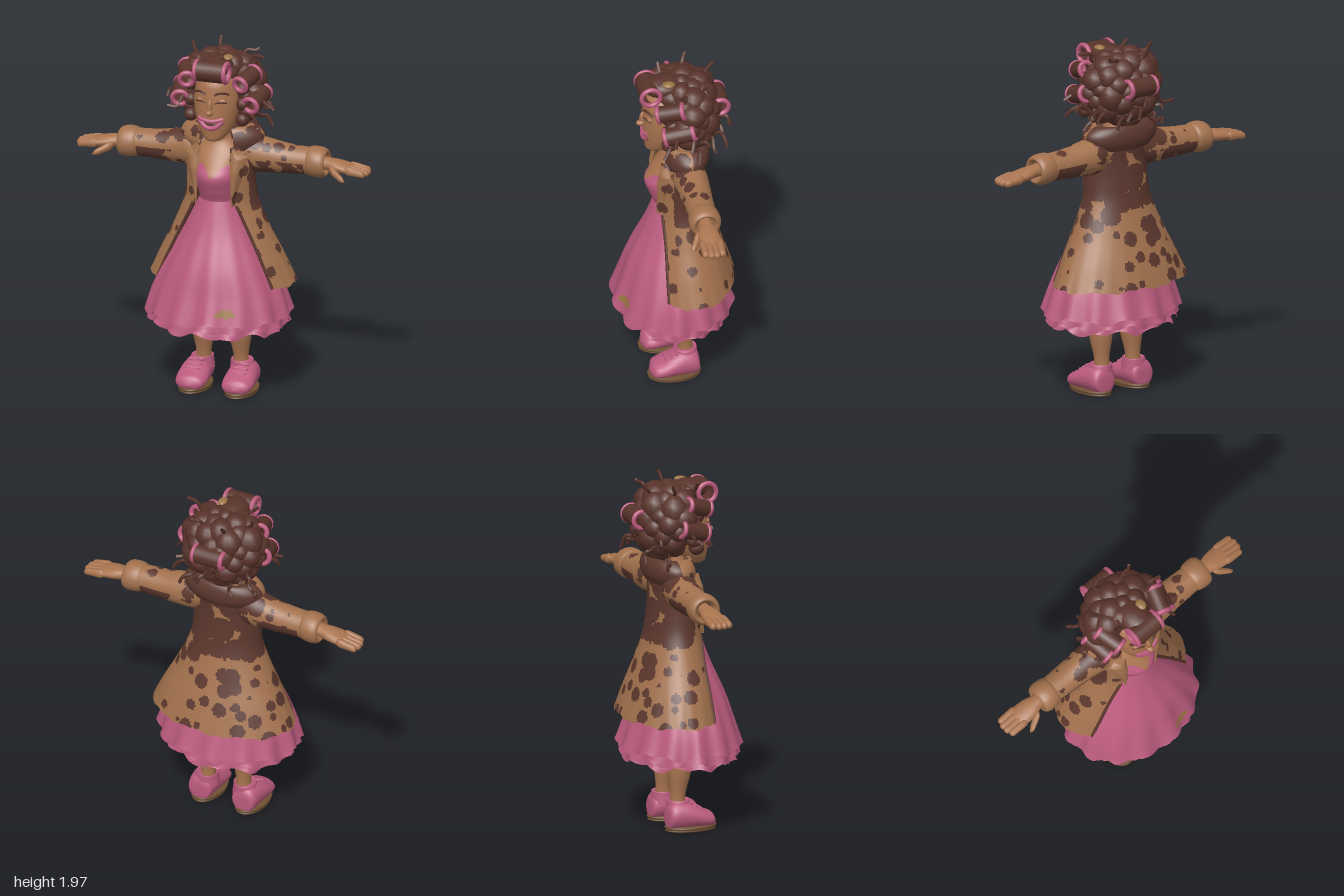
import * as THREE from 'three';
import { mergeVertices, mergeGeometries } from 'three/addons/utils/BufferGeometryUtils.js';

const material = (name, color, side = THREE.FrontSide) => {
  const m = new THREE.MeshStandardMaterial({ color, side });
  m.name = name;
  return m;
};
const V = (x, y, z) => new THREE.Vector3(x, y, z);
const { sin, cos, PI, max, min, abs, hypot, floor, sqrt, asin } = Math;
const smooth = THREE.MathUtils.smoothstep;

let seed = 7;
const rnd = () => (seed = (seed * 16807) % 2147483647) / 2147483647;

// Smooth interpolation through a list of cross-sections
function sample(rows, v) {
  const n = rows.length, s = v * (n - 1), i = min(floor(s), n - 2), t = s - i;
  const [a, b, c, d] = [rows[max(i - 1, 0)], rows[i], rows[i + 1], rows[min(i + 2, n - 1)]];
  return b.map((q, k) => 0.5 * (2 * q + (c[k] - a[k]) * t + (2 * a[k] - 5 * q + 4 * c[k] - d[k]) * t * t
    + (3 * q - a[k] - 3 * c[k] + d[k]) * t * t * t));
}

// Surface from a rule f(u, v); pick(x, y, z) chooses the material of each face
function surf(f, nu, nv, pick = () => 0, flip = false) {
  const pos = [], lists = [[], []];
  for (let j = 0; j <= nv; j++) for (let i = 0; i <= nu; i++) pos.push(...f(i / nu, j / nv));
  for (let j = 0; j < nv; j++) for (let i = 0; i < nu; i++) {
    const a = j * (nu + 1) + i, b = a + 1, c = b + nu + 1, d = a + nu + 1;
    const m = lists[pick(...[0, 1, 2].map(k => (pos[a * 3 + k] + pos[c * 3 + k]) / 2)) ? 1 : 0];
    m.push(...(flip ? [a, c, b, a, d, c] : [a, b, c, a, c, d]));
  }
  let g = new THREE.BufferGeometry();
  g.setAttribute('position', new THREE.Float32BufferAttribute(pos, 3));
  g.setIndex([...lists[0], ...lists[1]]);
  g = mergeVertices(g);
  g.addGroup(0, lists[0].length, 0);
  if (lists[1].length) g.addGroup(lists[0].length, lists[1].length, 1);
  g.computeVertexNormals();
  return g;
}

// Closed loft of ellipses; rows are [centre x, y, z, radius, radius]
function loft(axis, rows, nu = 20, nv = 20, pick) {
  return surf((u, v) => {
    const [x, y, z, p, q] = sample(rows, v), t = u * 2 * PI, a = max(p, 0), b = max(q, 0);
    if (axis === 'y') return [x + a * sin(t), y, z + b * cos(t)];
    if (axis === 'x') return [x, y + a * cos(t), z + b * sin(t)];
    return [x + a * cos(t), y + b * sin(t), z];
  }, nu, nv, pick);
}
// Loft rows along x for one side of the body
const along = (s, rows) => s > 0 ? rows : rows.map(([x, ...r]) => [-x, ...r]).reverse();

// Wrap open at the front; rows are [half gap, y, centre z, width, depth]
function openWrap(rows, nu, nv, pick, inset = 0, hem = 0) {
  return surf((u, v) => {
    const [gap, y, z, w, d] = sample(rows, v), t0 = asin(min(gap / w, 1)), t = t0 + u * 2 * (PI - t0);
    const edge = hem * (1 - v) ** 8 * (sin(t * 9) + sin(t * 23) * 0.6);
    return [(w - inset) * sin(t), y + edge, z + (d - inset) * cos(t)];
  }, nu, nv, pick, inset > 0);
}

// Irregular spots: jittered cell centres, each with its own radius
const hash = (i, j, k) => { const s = sin(i * 127.1 + j * 311.7 + k * 74.7) * 43758.5453; return s - floor(s); };
function spot(x, y, z, grow) {
  const p = [x, y, z].map(c => c * 10.5), c = p.map(floor);
  for (let i = -1; i < 2; i++) for (let j = -1; j < 2; j++) for (let k = -1; k < 2; k++) {
    const [a, b, d] = [c[0] + i, c[1] + j, c[2] + k];
    const r = 0.16 + 0.3 * hash(b, d, a) + grow;
    if (hypot(p[0] - a - hash(a, b, d), p[1] - b - hash(d, a, b), p[2] - d - hash(b, a, d + 9)) < r) return true;
  }
  return false;
}
const coatSpot = (x, y, z) => spot(x, y, z, z > 0.03
  ? (x > 0 ? -0.06 + 0.3 * smooth(y, 1.25, 1.4) : -0.12) : 0.03 + 0.43 * smooth(y, 0.92, 1.17));
const sleeveSpot = (x, y, z) => abs(x) < 0.49 && spot(x, y, z, y < 1.36 ? 0.36 : 0.4 - abs(x) * 1.1);

export function createModel() {
  const root = new THREE.Group();
  const skin = material('skin', 0xa9744f), tan = material('coat tan', 0xa2714d, THREE.DoubleSide);
  const brown = material('dark brown', 0x5b372d, THREE.DoubleSide), pink = material('pink', 0xbb5b7d, THREE.DoubleSide);
  const sole = material('sole brown', 0x6e4f33), hairMat = material('hair brown', 0x58332a, THREE.DoubleSide);
  const patch = material('patch olive', 0x9a7444);
  const add = (name, geo, mat, parent = root) => {
    const m = new THREE.Mesh(geo, mat);
    m.name = name;
    parent.add(m);
    return m;
  };
  const blob = (name, mat, x, y, z, a, b, c) => {
    const m = add(name, new THREE.SphereGeometry(1, 16, 10), mat);
    m.position.set(x, y, z);
    m.scale.set(a, b, c);
  };
  const tube = (pts, r, n = 16, sides = 6) => new THREE.TubeGeometry(new THREE.CatmullRomCurve3(pts), n, r, sides);

  // Legs, shoes, arms and hands
  for (const s of [-1, 1]) {
    add('leg', loft('y', [[.11, .1, -.05, .045, .045], [.108, .2, -.045, .043, .043], [.106, .33, -.035, .066, .066],
      [.1, .45, -.03, .07, .07], [.09, .75, -.02, .085, .085]].map(([x, ...r]) => [s * x, ...r]), 18, 20,
      (x, y) => y > .48), [skin, brown]);
    const x = s * .134;
    add('shoeSole', loft('y', [[x, 0, .02, 0, 0], [x, 0, .02, .08, .136], [x, .012, .02, .086, .141], [x, .028, .02, .085, .14],
      [x, .029, .02, 0, 0]], 28, 12, (a, y) => y < .003), [sole, brown]);
    add('shoe', loft('z', [[x, .06, -.118, 0, 0], [x, .07, -.115, .055, .055], [x, .084, -.09, .073, .076], [x, .088, -.03, .081, .08],
      [x, .08, .03, .088, .07], [x, .064, .09, .089, .052], [x, .053, .14, .07, .038], [x, .045, .16, 0, 0]], 24, 28), pink);
    add('shoeCollar', loft('y', [[s * .12, .1, -.045, .075, .07], [s * .117, .15, -.045, .066, .066], [s * .114, .172, -.045, .06, .062],
      [s * .112, .162, -.045, .044, .046]], 20, 10), pink);
    for (let i = 0; i < 3; i++) {
      const lace = add('shoeLace', new THREE.CapsuleGeometry(.009, .07, 3, 8), pink);
      lace.rotation.z = PI / 2;
      lace.position.set(x, .156 - i * .017, .012 + i * .028);
    }
    add('sleeve', loft('x', along(s, [[.08, 1.395, -.06, .07, .07], [.17, 1.376, -.06, .106, .095], [.26, 1.367, -.065, .096, .09],
      [.38, 1.359, -.067, .083, .082], [.52, 1.358, -.068, .076, .076]]), 52, 52, sleeveSpot), [tan, brown]);
    add('cuff', loft('x', along(s, [[.49, 1.36, -.068, .07, .07], [.51, 1.36, -.068, .083, .084], [.55, 1.358, -.068, .087, .09],
      [.585, 1.356, -.068, .081, .086], [.602, 1.355, -.068, .065, .068], [.58, 1.355, -.068, .045, .045]]), 24, 20), tan);
    add('hand', loft('x', along(s, [[.55, 1.358, -.068, .036, .038], [.61, 1.353, -.068, .036, .044], [.66, 1.348, -.068, .035, .058],
      [.72, 1.34, -.068, .03, .063], [.76, 1.333, -.068, .022, .06], [.78, 1.33, -.068, 0, 0]])), skin);
    for (let i = 0; i < 4; i++) {
      const z = -.115 + i * .031, l = [.84, .85, .848, .836][i];
      add('finger', loft('x', along(s, [[.71, 1.342, z, 0, 0], [.73, 1.339, z, .025, .021], [.79, 1.332, z, .022, .0205],
        [l - .01, 1.326, z, .018, .018], [l, 1.325, z, 0, 0]]), 10, 12), skin);
    }
    add('thumb', loft('x', along(s, [[.62, 1.345, -.04, 0, 0], [.64, 1.335, -.025, .026, .026], [.68, 1.315, .003, .022, .021],
      [.715, 1.3, .022, .017, .016], [.735, 1.29, .03, 0, 0]]), 12, 14), skin);
  }

  // Torso: pink bodice with a heart neckline below bare chest and neck
  const neckline = (x, y, z) => y < 1.265 + .07 * sin(min(abs(x) / .08, 1) * PI / 2) || (z < 0 && y < 1.33);
  add('torsoAndBodice', loft('y', [[0, 1.03, -.01, .13, .125], [0, 1.11, -.01, .112, .118], [0, 1.18, 0, .118, .135], [0, 1.26, .01, .13, .15],
    [0, 1.32, 0, .135, .13], [0, 1.39, -.015, .135, .1], [0, 1.45, -.02, .085, .07], [0, 1.49, -.005, .056, .055],
    [0, 1.58, .01, .054, .054]], 56, 68, neckline), [skin, pink]);

  // Gathered skirt, dark lining and two frilled underlayers
  const skirt = (rows, nv, folds, amp, phase, flip = false, pick = undefined, inset = 0) => surf((u, v) => {
    const [, y, z, w, d] = sample(rows, v), t = u * 2 * PI, k = (1 - v) ** 1.1;
    const wave = 1 + amp * k * (sin(t * folds + phase) + .35 * sin(t * (folds - 4) + phase * 2)) - inset;
    const drop = k ** 6 * .011 * (sin(t * folds + phase + 1) + sin(t * 7 + phase));
    return [w * wave * sin(t), y + drop, z + d * wave * cos(t)];
  }, 128, nv, pick, flip);
  const main = [[0, .465, .005, .408, .335], [0, .6, .005, .368, .292], [0, .75, .003, .298, .248], [0, .95, -.005, .195, .172], [0, 1.12, -.01, .114, .12]];
  add('skirt', skirt(main, 44, 14, .03, 0, false, (x, y, z) => z > 0 && hypot((x - .13) / .05, (y - .535) / .024) < 1), [pink, patch]);
  add('skirtLining', skirt(main, 20, 14, .03, 0, true, undefined, .02), brown);
  add('frill', skirt([[0, .42, .005, .39, .322], [0, .5, .005, .37, .3], [0, .6, .005, .335, .265]], 12, 15, .035, 1), pink);
  add('frill', skirt([[0, .388, .005, .362, .3], [0, .46, .005, .335, .275], [0, .56, .005, .3, .24]], 12, 13, .045, 2.4), pink);

  // Open spotted coat with lining, collar and lapels
  const coat = [[.335, .64, -.07, .418, .262], [.275, .78, -.06, .355, .228], [.2, .94, -.048, .275, .185], [.125, 1.1, -.038, .212, .15],
    [.112, 1.22, -.028, .197, .143], [.108, 1.33, -.026, .197, .137], [.105, 1.42, -.045, .18, .122], [.09, 1.475, -.06, .125, .095]];
  add('coat', openWrap(coat, 150, 112, coatSpot, 0, .007), [tan, brown]);
  add('coatLining', openWrap(coat, 60, 24, undefined, .01, .007), brown);
  add('collar', openWrap([[.1, 1.40, -.055, .2, .122], [.1, 1.445, -.06, .236, .136], [.095, 1.495, -.064, .232, .132],
    [.08, 1.535, -.064, .18, .115], [.07, 1.525, -.06, .13, .09], [.07, 1.46, -.05, .11, .075]], 64, 24,
    (x, y, z) => z < -.07 || (x > .05 && spot(x, y, z, .3)) || spot(x, y, z, -.02)), [tan, brown]);
  for (const s of [-1, 1]) {
    const edge = coat.slice(0, 7).map(([g, y, z, w, d]) => V(s * g, y, z + d * sqrt(1 - (g / w) ** 2)));
    add('coatEdge', tube(edge.slice(0, 4), .009, 24, 8), brown);
    add('lapel', surf((u, v) => {
      const w = v < .85 ? .012 + .1 * v : .065 - .2 * (v - .85);
      return [s * (.1 - .015 * v + w * u), 1.1 + v * .33 + .02 * u * v, .104 - .035 * u * u - .07 * max(v - .6, 0) + .014 * sin(u * PI)];
    }, 12, 28, (x, y, z) => spot(x, y, z, s > 0 ? .08 : -.12)), [tan, brown]);
  }

  // Head and face
  add('head', loft('y', [[0, 1.477, .095, 0, 0], [0, 1.488, .095, .045, .055], [0, 1.53, .075, .085, .086], [0, 1.6, .05, .114, .12],
    [0, 1.68, .04, .128, .13], [0, 1.76, .03, .125, .136], [0, 1.84, .02, .1, .12], [0, 1.9, 0, 0, 0]], 30, 32), skin);
  const faceZ = x => .045 + .126 * sqrt(max(0, 1 - (x / .128) ** 2));
  const arc = (cx, y, w, bow, lift = 0) => [-1, -.5, 0, .5, 1].map(a => V(cx + a * w, y + bow * (1 - a * a), faceZ(cx + a * w) + lift));
  blob('noseTip', skin, 0, 1.662, .178, .02, .018, .03);
  blob('noseBridge', skin, 0, 1.69, .168, .014, .045, .022);
  blob('mouth', brown, 0, 1.59, .153, .055, .02, .018);
  add('upperLip', tube(arc(0, 1.622, .07, -.012), .012, 20, 8), pink);
  add('lowerLip', tube(arc(0, 1.612, .068, -.044, -.003), .015, 20, 8), pink);
  for (const s of [-1, 1]) {
    blob('eyelid', skin, s * .055, 1.725, .143, .03, .016, .016);
    add('lashes', tube(arc(s * .057, 1.715, .03, .006, .003), .0045, 12), brown);
    add('eyebrow', tube(arc(s * .06, 1.762, .036, .012, -.002), .007, 12), brown);
  }

  // Hair: a mass of broad curls over the skull, leaving the face free
  const curls = [];
  const curl = (x, y, z, a, b, c) => curls.push(new THREE.SphereGeometry(1, 13, 9).scale(a, b, c).translate(x, y, z));
  curl(0, 1.74, -.06, .2, .19, .165);
  for (let i = 0; i < 62; i++) {
    const h = 1 - 2 * (i + .5) / 62, q = sqrt(1 - h * h), t = i * 2.39996, x = q * sin(t), z = q * cos(t);
    if (z > .25 && h < .6 && abs(x) < .85) continue;
    const r = .055 + .03 * rnd();
    curl(.185 * x, 1.74 + .155 * h, -.07 + .135 * z, r, r * (.8 + .4 * rnd()), r);
  }
  for (const s of [-1, 1]) for (let i = 0; i < 5; i++) curl(s * (.15 + .012 * (i % 2)), 1.6 + i * .045, .05 - .02 * (i % 2), .038, .04, .045);
  curl(0, 1.9, .05, .09, .06, .12);
  add('hair', mergeGeometries(curls), hairMat);
  blob('hairHighlight', patch, .06, 1.945, .035, .028, .016, .035);

  // Loose springy strands
  const strands = [];
  for (let i = 0; i < 30; i++) {
    const t = i / 30 * 2 * PI + .3, top = i % 5 === 0, h = top ? 1.87 : 1.57 + .2 * rnd(), len = .09 + .07 * rnd(), ph = rnd() * 6;
    if (!top && cos(t) > .6) continue;
    const pts = [0, 1, 2, 3, 4].map(k => {
      const r = (top ? .09 : .17) + len * k / 4;
      return V(r * sin(t) + .016 * sin(ph + k * 2), h + (top ? .02 : -.018) * k + .018 * cos(ph + k * 2.2), -.06 + r * .8 * cos(t) + .012 * sin(ph + k * 1.7));
    });
    strands.push(tube(pts, .0105, 14, 5));
  }
  add('strands', mergeGeometries(strands), hairMat);

  // Hair curlers: rolled hair with a pink ring at each end
  const curler = (a, b, r) => {
    const g = new THREE.Group(), d = b.clone().sub(a), l = d.length();
    g.name = 'curler';
    add('rolledHair', new THREE.CylinderGeometry(r, r, l, 20, 1, true).rotateX(PI / 2), hairMat, g);
    for (const e of [-1, 1]) add('curlerRing', new THREE.TorusGeometry(r - .008, .0135, 8, 20), pink, g).position.z = e * l / 2;
    g.position.copy(a).add(b).multiplyScalar(.5);
    g.quaternion.setFromUnitVectors(V(0, 0, 1), d.normalize());
    root.add(g);
  };
  curler(V(-.085, 1.89, .14), V(.085, 1.89, .14), .06);
  curler(V(-.085, 1.77, -.25), V(.085, 1.77, -.25), .054);
  for (const s of [-1, 1]) {
    curler(V(s * .155, 1.82, .11), V(s * .195, 1.855, -.02), .048);
    curler(V(s * .205, 1.695, .08), V(s * .235, 1.735, -.07), .05);
  }
  return root;
}
